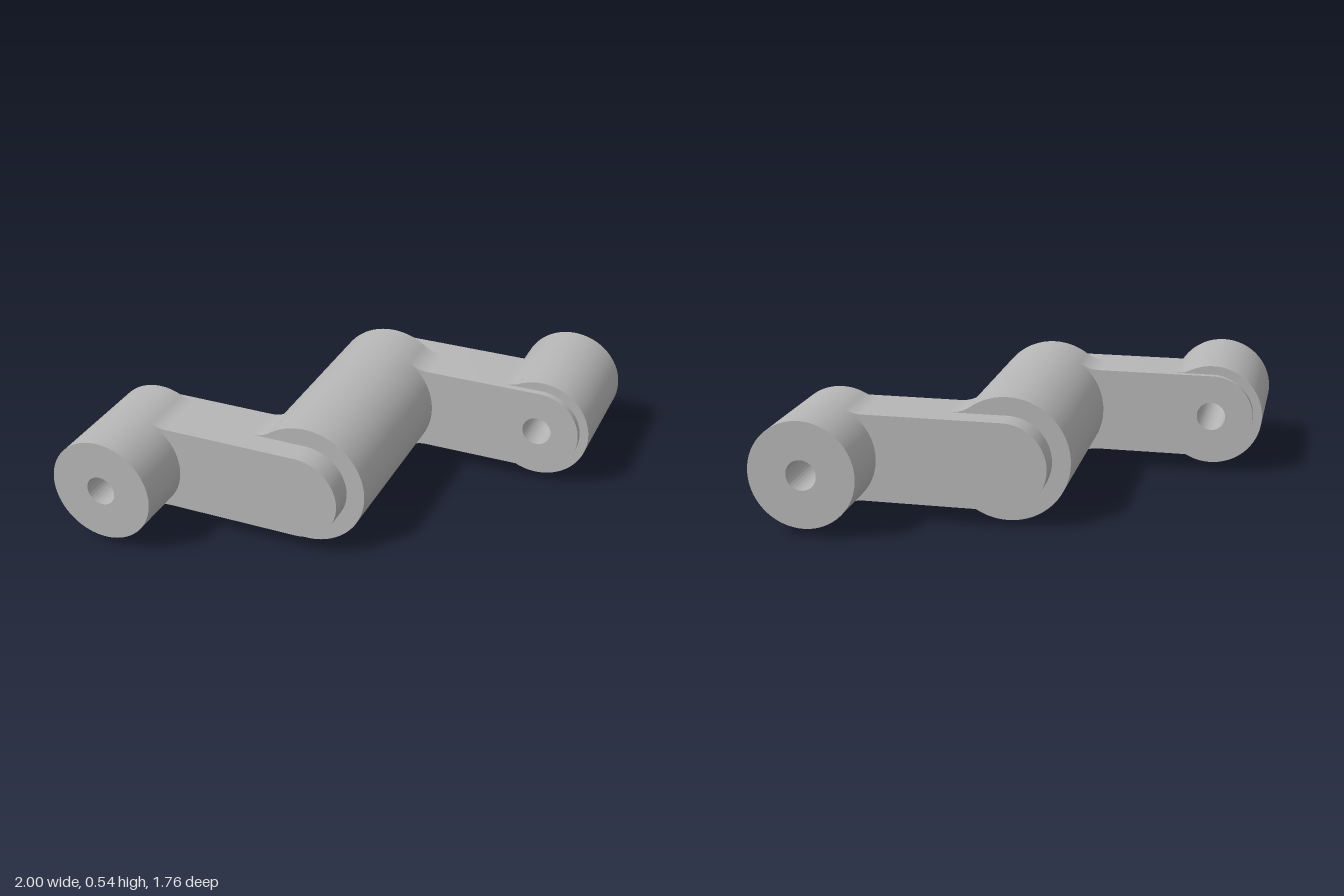
import * as THREE from 'three';
import { toCreasedNormals } from 'three/addons/utils/BufferGeometryUtils.js';

const AXIS_Y = 0.27, END_X = -0.77, ARM_R = 0.19, BOSS_R = 0.23, HUB_R = 0.27, HOLE_R = 0.065, FILLET_R = 0.15;
const metal = new THREE.MeshStandardMaterial({ color: 0xb6b6b6 });
metal.name = 'grey metal';

// Extrude a shape from z0 to z1, smooth on curves and sharp on rims
function part(name, shape, z0, z1) {
  const geometry = new THREE.ExtrudeGeometry(shape, { depth: z1 - z0, bevelEnabled: false, curveSegments: 48 });
  geometry.translate(0, 0, z0);
  const mesh = new THREE.Mesh(toCreasedNormals(geometry, 0.6), metal);
  mesh.name = name;
  return mesh;
}

function circle(x, r) {
  return new THREE.Shape().absarc(x, 0, r, 0, Math.PI * 2, false);
}

function addBore(shape) {
  shape.holes.push(new THREE.Path().absarc(END_X, 0, HOLE_R, 0, Math.PI * 2, true));
  return shape;
}

// Concave wedge blending the arm's edge into a round part of radius r at x
// dir is the direction along the arm, side is 1 for top and -1 for bottom
function filletShape(x, r, dir, side) {
  const cy = ARM_R + FILLET_R;
  const cx = Math.sqrt((r + FILLET_R) ** 2 - cy ** 2);
  const touch = r / (r + FILLET_R);
  const start = -Math.PI / 2, end = Math.atan2(-cy, -cx);
  const points = [[cx * touch, ARM_R - 0.005], [cx, ARM_R - 0.005]];
  for (let i = 0; i <= 12; i++) {
    const a = start + (end - start) * i / 12;
    points.push([cx + FILLET_R * Math.cos(a), cy + FILLET_R * Math.sin(a)]);
  }
  return new THREE.Shape(points.map(([px, py]) => new THREE.Vector2(x + dir * px, side * py)));
}

// One arm with its bored end boss and fillets
function createCrank(name) {
  const crank = new THREE.Group();
  crank.name = name;
  const arm = new THREE.Shape()
    .absarc(END_X, 0, ARM_R, Math.PI / 2, Math.PI * 1.5, false)
    .absarc(0, 0, ARM_R, -Math.PI / 2, Math.PI / 2, false);
  crank.add(part('arm', addBore(arm), 0.31, 0.61));
  crank.add(part('endBoss', addBore(circle(END_X, BOSS_R)), 0.34, 0.88));
  for (const side of [1, -1]) {
    crank.add(part('bossFillet', filletShape(END_X, BOSS_R, 1, side), 0.34, 0.61));
    crank.add(part('hubFillet', filletShape(0, HUB_R, -1, side), 0.31, 0.5));
  }
  return crank;
}

export function createModel() {
  const model = new THREE.Group();
  model.name = 'doubleCrank';
  model.add(part('centralHub', circle(0, HUB_R), -0.5, 0.5));
  const front = createCrank('frontCrank');
  const back = createCrank('backCrank');
  back.rotation.y = Math.PI;
  model.add(front, back);
  for (const child of model.children) child.position.y = AXIS_Y;
  return model;
}
